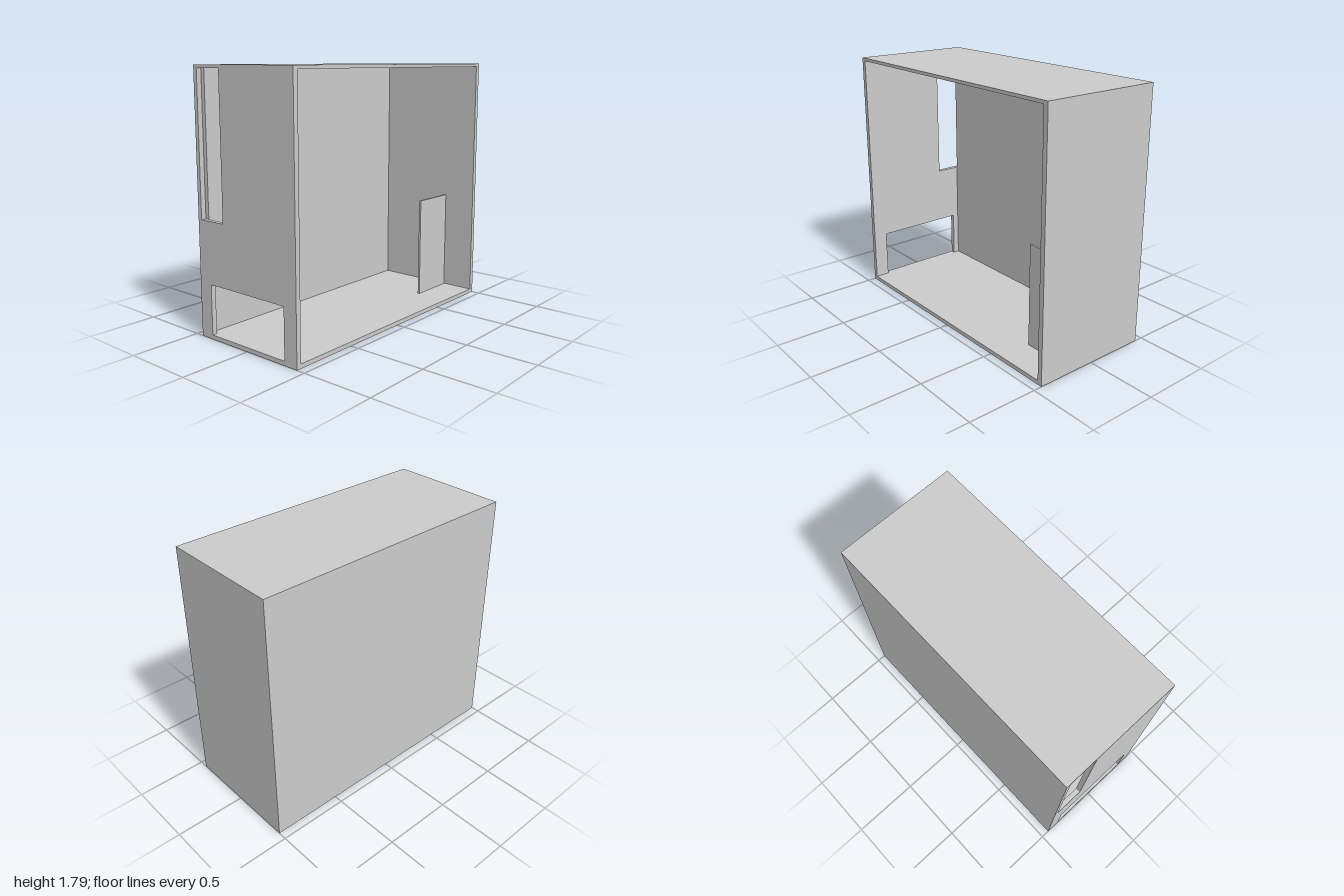
import * as THREE from 'three';

const W = 2, H = 1.795, D = 0.88;   // outer size
const SIDE = 0.035, FLOOR = 0.03, TOP = 0.022, BACK = 0.06;

const material = new THREE.MeshStandardMaterial({ color: 0xcccccc, flatShading: true });

// Box given by its min and max corners
function box(name, [x0, y0, z0], [x1, y1, z1]) {
  const geometry = new THREE.BoxGeometry(x1 - x0, y1 - y0, z1 - z0);
  geometry.translate((x0 + x1) / 2, (y0 + y1) / 2, (z0 + z1) / 2);
  const mesh = new THREE.Mesh(geometry, material);
  mesh.name = name;
  return mesh;
}

// Rectangle outline in the (z, y) plane
function rect(target, z0, y0, z1, y1) {
  target.moveTo(z0, y0);
  target.lineTo(z1, y0);
  target.lineTo(z1, y1);
  target.lineTo(z0, y1);
  target.closePath();
  return target;
}

export function createModel() {
  const group = new THREE.Group();
  group.name = 'openCabinet';
  const x = W / 2 - SIDE, z = D / 2, ceiling = H - TOP;

  // Carcass: floor, top, back and the solid side
  group.add(
    box('floor', [-W / 2, 0, -z], [W / 2, FLOOR, z]),
    box('topPanel', [-W / 2, ceiling, -z], [W / 2, H, z]),
    box('backPanel', [-x, FLOOR, -z], [x, ceiling, -z + BACK]),
    box('leftWall', [x, FLOOR, -z], [W / 2, ceiling, z]),
  );

  // Side wall with a tall slot up to the ceiling and a wide opening at the floor
  const outline = new THREE.Shape([
    [-z, FLOOR], [-0.335, FLOOR], [-0.335, 0.375], [0.335, 0.375], [0.335, FLOOR], [z, FLOOR],
    [z, ceiling], [-0.2, ceiling], [-0.2, 0.8], [-0.41, 0.8], [-0.41, ceiling], [-z, ceiling],
  ].map(([a, b]) => new THREE.Vector2(-a, b)));
  const wall = new THREE.ExtrudeGeometry(outline, { depth: SIDE, bevelEnabled: false });
  wall.rotateY(Math.PI / 2);          // shape x becomes -z, depth becomes +x
  wall.translate(-W / 2, 0, 0);
  const rightWall = new THREE.Mesh(wall, material);
  rightWall.name = 'rightWall';
  group.add(rightWall);

  // Thin upright partition inside, next to the solid side
  group.add(box('partition', [0.61, FLOOR, 0.185], [0.957, 0.765, 0.2]));

  return group;
}
